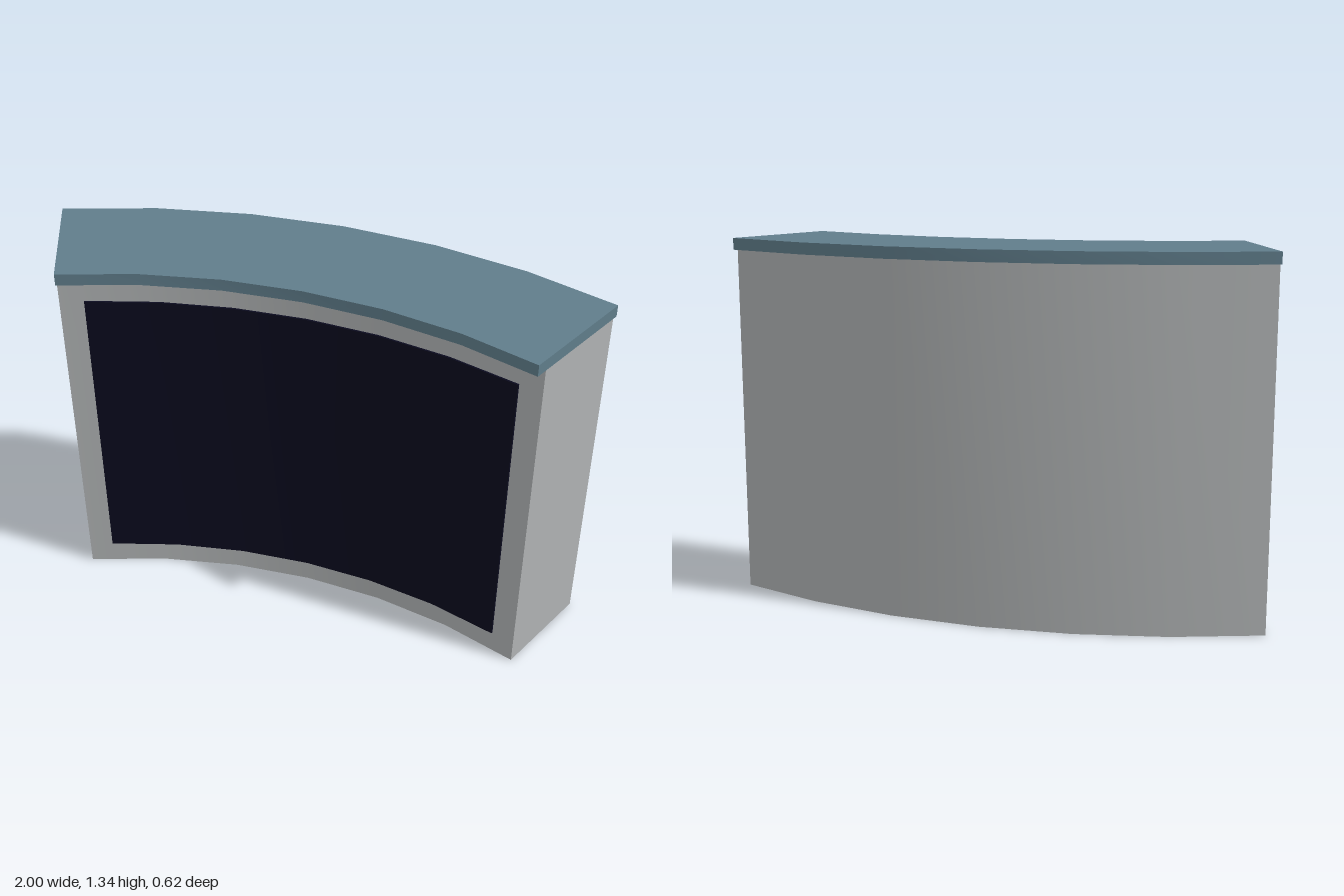
import * as THREE from 'three';
import { toCreasedNormals } from 'three/addons/utils/BufferGeometryUtils.js';

const CENTRE_Z = 2.261; // centre of the arc, in front of the counter
const SEGMENTS = 6;

// Ring sector about the arc centre, standing from y0 to y1, smooth along the curve
function arcBlock(name, inner, outer, halfAngle, y0, y1, material) {
  const points = [];
  const addArc = (radius, from, to) => {
    for (let i = 0; i <= SEGMENTS; i++) {
      const a = from + (to - from) * i / SEGMENTS;
      points.push(new THREE.Vector2(radius * Math.sin(a), radius * Math.cos(a) - CENTRE_Z));
    }
  };
  addArc(outer, -halfAngle, halfAngle);
  addArc(inner, halfAngle, -halfAngle);
  const block = new THREE.ExtrudeGeometry(new THREE.Shape(points), {
    depth: y1 - y0, bevelEnabled: false, steps: 1,
  });
  block.rotateX(-Math.PI / 2).translate(0, y0, 0);
  const mesh = new THREE.Mesh(toCreasedNormals(block, 0.5), material);
  mesh.name = name;
  return mesh;
}

export function createModel() {
  const paleGrey = new THREE.MeshStandardMaterial({ name: 'pale grey', color: 0xb0b3b4 });
  const slateBlue = new THREE.MeshStandardMaterial({ name: 'slate blue', color: 0x607d8b });
  const darkNavy = new THREE.MeshStandardMaterial({ name: 'dark navy', color: 0x0a0a1e });

  const group = new THREE.Group();
  group.name = 'curvedScreenWall';
  group.add(
    // Curved body, overhanging cap and thin screen on the concave front
    arcBlock('body', 2.162, 2.548, 0.4, 0, 1.3, paleGrey),
    arcBlock('topCap', 2.118, 2.568, 0.4, 1.3, 1.343, slateBlue),
    arcBlock('screen', 2.15, 2.157, 0.36, 0.09, 1.21, darkNavy),
  );
  return group;
}
